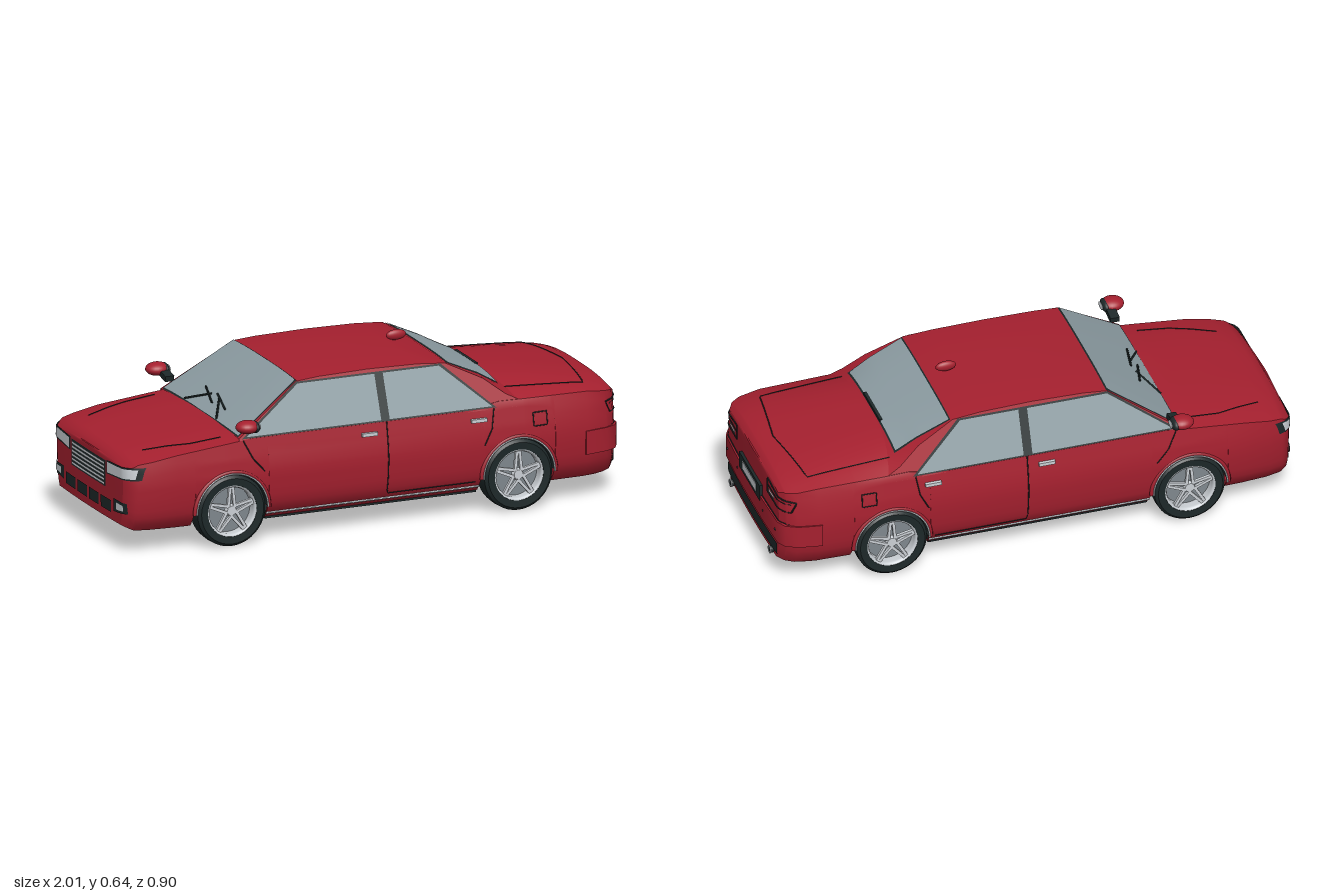
import * as THREE from 'three';
import { toCreasedNormals } from 'three/addons/utils/BufferGeometryUtils.js';

const mat = (name, color) => {
  const m = new THREE.MeshStandardMaterial({ color, side: THREE.DoubleSide });
  m.name = name;
  return m;
};
const paint = mat('red paint', 0xa6202f), glass = mat('grey glass', 0x8d9da3), dark = mat('dark trim', 0x1d2829),
  chrome = mat('bright metal', 0xccd1d6), steel = mat('grey metal', 0x80888e);

// Piecewise linear lookup in a list of [input, output] pairs
const look = (tab, x) => {
  if (x <= tab[0][0]) return tab[0][1];
  for (let i = 1; i < tab.length; i++) {
    const [a, p] = tab[i - 1], [b, q] = tab[i];
    if (x <= b) return p + (q - p) * (x - a) / (b - a);
  }
  return tab[tab.length - 1][1];
};
const lerp = THREE.MathUtils.lerp;

// Body curves along x: half width, centre height, shoulder height
const WIDTH = [[-.992, .3], [-.982, .325], [-.96, .347], [-.9, .365], [-.8, .375], [-.6, .38], [.6, .38], [.85, .373], [.93, .357], [.965, .335], [.985, .3]];
const TOP = [[-.992, .345], [-.982, .36], [-.95, .373], [-.8, .397], [-.6, .418], [-.53, .42], [-.5, .41], [.3, .41], [.42, .44], [.5, .487], [.55, .486], [.7, .472], [.85, .455], [.94, .441], [.97, .43], [.985, .412]];
const SHOULDER = [[-.992, .325], [-.95, .35], [-.8, .375], [-.55, .4], [-.5, .405], [.35, .405], [.5, .425], [.85, .42], [.97, .405], [.985, .395]];
const BULGE = [[.085, .86], [.11, .92], [.14, .965], [.2, .99], [.27, 1], [.33, .985], [.38, .96], [.41, .945], [.43, .92]];
const AXLES = [-.585, .57], ARCH = .148, AXLE_Y = .14, NOSE = -.992, TAIL = .985;

const sideZ = (x, y) => look(WIDTH, x) * look(BULGE, y);
const topY = (x, z) => {
  const s = look(SHOULDER, x), u = Math.min(1, Math.abs(z) / sideZ(x, s));
  return s + (look(TOP, x) - s) * (1 - u ** 3);
};
const bottomY = x => {
  for (const c of AXLES) if (Math.abs(x - c) <= ARCH) return AXLE_Y + Math.sqrt(Math.max(0, ARCH ** 2 - (x - c) ** 2));
  return look([[NOSE, .11], [-.95, .09], [.9, .088], [TAIL, .1]], x);
};
// x of the nose (-1) or tail (1) surface at a given z and y
const endX = (dir, z, y) => {
  const e = dir < 0 ? NOSE : TAIL, w = Math.abs(z) / look(BULGE, y), w0 = look(WIDTH, e);
  if (w <= w0) return e + dir * .006 * (1 - (w / w0) ** 2);
  const rows = WIDTH.filter(r => r[0] * dir > .59).map(r => [r[1], r[0]]).sort((a, b) => a[0] - b[0]);
  return look(rows, w);
};

// Cabin curves
const ROOF = [[-.55, .415], [-.29, .588], [-.2, .595], [0, .599], [.2, .595], [.31, .586], [.45, .524], [.53, .488], [.58, .468]];
const DROP = [[-.55, .008], [.31, .008], [.45, .014], [.53, .04], [.58, .045]];
const cabinZ = y => .357 - (y - .41) * .4;
const roofEdge = x => cabinZ(look(ROOF, x) - look(DROP, x));
const roofY = (x, z) => look(ROOF, x) - look(DROP, x) * (Math.abs(z) / roofEdge(x)) ** 3;

function add(parent, name, geo, material, x = 0, y = 0, z = 0) {
  const m = new THREE.Mesh(geo, material);
  m.name = name;
  m.position.set(x, y, z);
  parent.add(m);
  return m;
}
// Grid surface from f(i, j)
function grid(nu, nv, f, crease = 0.6) {
  const pos = [], idx = [];
  for (let i = 0; i <= nu; i++) for (let j = 0; j <= nv; j++) {
    pos.push(...f(i, j));
    const a = i * (nv + 1) + j, b = a + nv + 1;
    if (i < nu && j < nv) idx.push(a, a + 1, b, b, a + 1, b + 1);
  }
  const g = new THREE.BufferGeometry();
  g.setAttribute('position', new THREE.Float32BufferAttribute(pos, 3));
  g.setIndex(idx);
  return toCreasedNormals(g, crease);
}
// Thin line laid over a surface
function seam(parent, name, pts, map, material = dark, r = .0022) {
  const path = new THREE.CurvePath();
  for (let i = 1; i < pts.length; i++) {
    const v = [];
    for (let k = 0; k <= 6; k++) v.push(new THREE.Vector3(...map(lerp(pts[i - 1][0], pts[i][0], k / 6), lerp(pts[i - 1][1], pts[i][1], k / 6))));
    path.add(new THREE.CatmullRomCurve3(v));
  }
  add(parent, name, new THREE.TubeGeometry(path, pts.length * 12, r, 4), material);
}
const onSide = (x, y) => [x, y, sideZ(x, y) + .001];
const onTop = (x, z) => [x, topY(x, z) + .001, z];
const onTail = (z, y) => [endX(1, z, y) + .002, y, z];
// Patch hugging the nose or tail; the lower and upper edges may slope
function endPatch(parent, name, dir, z0, z1, [a0, a1], [b0, b1], material, off = .003) {
  add(parent, name, grid(16, 4, (i, j) => {
    const z = lerp(z0, z1, i / 16), y = lerp(lerp(a0, b0, i / 16), lerp(a1, b1, i / 16), j / 4);
    return [endX(dir, z, y) + dir * off, y, z + (Math.abs(z) > .25 ? Math.sign(z) * off : 0)];
  }), material);
}
function sidePlate(parent, name, pts, off, material) {
  const g = new THREE.ShapeGeometry(new THREE.Shape(pts.map(p => new THREE.Vector2(...p))));
  const p = g.attributes.position;
  for (let i = 0; i < p.count; i++) p.setZ(i, cabinZ(p.getY(i)) + off);
  g.computeVertexNormals();
  add(parent, name, g, material);
}

function makeWheel() {
  const g = new THREE.Group();
  g.name = 'wheel';
  const lathe = pts => new THREE.LatheGeometry(pts.map(p => new THREE.Vector2(...p)), 40).rotateX(Math.PI / 2);
  add(g, 'tyre', toCreasedNormals(lathe([[.095, -.045], [.125, -.045], [.136, -.034], [.138, 0], [.136, .034], [.125, .045], [.098, .043], [.095, .03]]), .7), dark);
  add(g, 'rim', lathe([[.095, -.04], [.09, -.02], [.088, .03], [.092, .041], [.099, .042]]), chrome);
  add(g, 'brakeDisc', new THREE.CylinderGeometry(.09, .09, .01, 32).rotateX(Math.PI / 2), steel, 0, 0, -.005);
  add(g, 'hub', new THREE.CylinderGeometry(.018, .024, .014, 20).rotateX(Math.PI / 2), chrome, 0, 0, .031);
  for (let i = 0; i < 5; i++) for (const s of [-1, 1]) {
    const spoke = new THREE.BoxGeometry(.011, .082, .012).rotateZ(s * .1).translate(s * .009, .052, .031);
    add(g, 'spoke', spoke.rotateZ(i * Math.PI * .4), chrome);
  }
  return g;
}

// Everything on the +z flank, reused mirrored
function makeFlank() {
  const g = new THREE.Group();
  // Windows over a dark frame
  sidePlate(g, 'windowFrame', [[-.54, .406], [.485, .406], [.29, .579], [-.292, .579]], .002, dark);
  sidePlate(g, 'frontWindow', [[-.52, .412], [.022, .412], [.022, .573], [-.288, .573]], .004, glass);
  sidePlate(g, 'rearWindow', [[.056, .412], [.468, .412], [.282, .573], [.056, .573]], .004, glass);
  // Door and panel lines
  seam(g, 'doorSeam', [[.043, .405], [.043, .13], [.4, .13]], onSide);
  seam(g, 'frontDoorSeam', [[-.535, .4], [-.5, .33], [-.455, .28]], onSide);
  seam(g, 'rearDoorSeam', [[.475, .405], [.462, .33], [.43, .27]], onSide);
  seam(g, 'fuelFlap', [[.63, .32], [.685, .32], [.685, .37], [.63, .37], [.63, .32]], onSide);
  seam(g, 'sillStrip', [[-.437, .108], [.42, .108]], onSide, chrome, .004);
  for (const x of [-.03, .41]) add(g, 'doorHandle', new THREE.BoxGeometry(.062, .013, .016), chrome, x, .367, sideZ(x, .367) + .004);
  add(g, 'sill', new THREE.BoxGeometry(.85, .03, .075), dark, -.008, .095, .29);
  // Arches and wheels
  for (const x of AXLES) {
    add(g, 'archFlare', new THREE.TorusGeometry(.15, .008, 6, 32, Math.PI), paint, x, AXLE_Y, .374);
    add(g, 'archTrim', new THREE.TorusGeometry(.143, .0035, 5, 32, Math.PI), chrome, x, AXLE_Y, .38);
    const liner = new THREE.CylinderGeometry(.147, .147, .11, 28, 1, true, 0, Math.PI).rotateX(Math.PI / 2).rotateZ(Math.PI / 2);
    add(g, 'archLiner', liner, dark, x, AXLE_Y, .315);
    const w = makeWheel();
    w.position.set(x, AXLE_Y, .334);
    g.add(w);
  }
  // Door mirror
  add(g, 'mirrorStalk', new THREE.BoxGeometry(.035, .022, .07), dark, -.525, .455, .365).rotation.x = -.2;
  add(g, 'mirrorShell', new THREE.SphereGeometry(1, 24, 16).scale(.045, .025, .04), paint, -.54, .468, .412);
  add(g, 'mirrorRim', new THREE.SphereGeometry(1, 24, 12).scale(.016, .022, .036), dark, -.512, .466, .412);
  add(g, 'mirrorGlass', new THREE.SphereGeometry(1, 20, 10).scale(.004, .013, .024), chrome, -.496, .466, .412);
  // Bonnet and boot lines
  seam(g, 'bonnetSeam', [[-.89, .245], [-.72, .295], [-.6, .3]], onTop);
  seam(g, 'bootSeam', [[.55, .28], [.87, .28], [.91, 0]], onTop);
  // Tail lamp, exhaust and sensors
  seam(g, 'tailLampEdge', [[.18, .335], [.34, .328], [.345, .37], [.18, .396], [.18, .335]], onTail, dark, .003);
  seam(g, 'tailLampRib', [[.18, .367], [.335, .36]], onTail);
  endPatch(g, 'reverseLamp', 1, .2, .255, [.346, .36], [.346, .36], chrome, .004);
  seam(g, 'bumperSeam', [[.12, .278], [.34, .278]], onTail);
  add(g, 'exhaustPipe', new THREE.CylinderGeometry(.014, .014, .05, 20).rotateZ(Math.PI / 2), dark, .974, .11, .23);
  add(g, 'exhaustRing', new THREE.TorusGeometry(.014, .0025, 6, 20).rotateY(Math.PI / 2), chrome, .999, .11, .23);
  for (const z of [.15, .28]) add(g, 'parkingSensor', new THREE.SphereGeometry(.005, 10, 8), dark, endX(1, z, .23) + .008, .23, z);
  // Headlamp and fog lamp
  endPatch(g, 'headlampFrame', -1, .165, .352, [.278, .33], [.292, .34], dark, .002);
  endPatch(g, 'headlamp', -1, .172, .345, [.284, .324], [.298, .334], chrome, .004);
  endPatch(g, 'fogLampRecess', -1, .225, .32, [.15, .2], [.16, .2], dark, .003);
  endPatch(g, 'fogLamp', -1, .25, .3, [.163, .19], [.168, .19], chrome, .005);
  return g;
}

export function createModel() {
  const car = new THREE.Group();
  car.name = 'sedan';
  // Body shell lofted along x, with wheel openings in its lower edge
  const xs = [WIDTH, TOP, SHOULDER].flatMap(t => t.map(r => r[0]));
  for (const c of AXLES) {
    for (let k = 0; k <= 20; k++) xs.push(c - ARCH * Math.cos(k * Math.PI / 20) * .99999);
    xs.push(c - ARCH - .001, c + ARCH + .001);
  }
  const st = [...new Set(xs.map(x => +x.toFixed(5)))].sort((a, b) => a - b), N = 20;
  const half = (x, k) => {
    const s = look(SHOULDER, x);
    if (k <= 10) { const y = lerp(bottomY(x), s, k / 10); return [y, sideZ(x, y)]; }
    const z = sideZ(x, s) * (1 - (k - 10) / 10);
    return [topY(x, z), z];
  };
  add(car, 'bodyShell', grid(st.length - 1, 2 * N, (i, j) => {
    const [y, z] = half(st[i], j <= N ? j : 2 * N - j);
    return [st[i], y, j <= N ? z : -z];
  }), paint);
  for (const [e, dir, name] of [[NOSE, -1, 'nosePanel'], [TAIL, 1, 'tailPanel']])
    add(car, name, grid(N, 16, (i, j) => {
      const [y, z] = half(e, i), w = j / 8 - 1;
      return [e + dir * .006 * (1 - w * w), y, z * w];
    }), paint);
  // Floor sections, dark axle bays
  for (const [a, b] of [[NOSE, -.734], [-.436, .421], [.719, TAIL]])
    add(car, 'floor', grid(16, 2, (i, j) => {
      const x = lerp(a, b, i / 16), y = bottomY(x);
      return [x, y, sideZ(x, y) * (j - 1)];
    }), paint);
  for (const x of AXLES) add(car, 'axleBay', new THREE.BoxGeometry(.296, .19, .54), dark, x, .2, 0);

  // Cabin shell with windscreen and rear window
  add(car, 'cabinShell', grid(ROOF.length - 1, 14, (i, j) => {
    const x = ROOF[i][0], e = roofEdge(x);
    if (j === 0 || j === 14) return [x, .4, cabinZ(.4) * (j ? -1 : 1)];
    const z = e * (7 - j) / 6;
    return [x, roofY(x, z), z];
  }, .4), paint);
  const screen = (name, x0, x1, f0, f1, off, material) => add(car, name, grid(10, 16, (i, j) => {
    const x = lerp(x0, x1, i / 10), z = lerp(f0, f1, i / 10) * (j / 8 - 1);
    return [x, roofY(x, z) + off, z];
  }), material);
  screen('windscreenSeal', -.549, -.287, .345, .285, .002, dark);
  screen('windscreen', -.546, -.291, .341, .281, .005, glass);
  screen('rearWindowSeal', .316, .53, .286, .278, .002, dark);
  screen('rearWindow', .322, .525, .282, .272, .005, glass);
  const onScreen = (x, z) => [x, roofY(x, z) + .009, z];
  for (const line of [[[-.545, -.15], [-.485, -.04]], [[-.475, -.115], [-.51, .02]], [[-.545, .14], [-.485, .03]], [[-.505, .13], [-.475, -.01]]])
    seam(car, 'wiper', line, onScreen, dark, .004);
  add(car, 'highBrakeLamp', new THREE.BoxGeometry(.012, .012, .19), dark, .522, .494, 0);
  add(car, 'roofAntenna', new THREE.SphereGeometry(1, 20, 14).scale(.04, .02, .014), paint, .24, .617, 0);

  // Rear bumper following the plan of the body
  const plan = [.84, .88, .93, .965, .985].map(x => [x + (x > .95 ? .008 : 0), look(WIDTH, x) + .004]);
  const ring = [...plan, [.999, .15], [.999, -.15], ...plan.map(([x, z]) => [x, -z]).reverse()];
  const bumper = new THREE.ExtrudeGeometry(new THREE.Shape(ring.map(p => new THREE.Vector2(...p))), { depth: .09, bevelEnabled: false });
  add(car, 'rearBumper', toCreasedNormals(bumper.rotateX(Math.PI / 2), .6), paint, 0, .275, 0);
  endPatch(car, 'rearValance', 1, -.285, .285, [.12, .17], [.12, .17], dark, .004);
  add(car, 'plateFrame', new THREE.BoxGeometry(.02, .066, .24), dark, .992, .288, 0);
  add(car, 'plate', new THREE.BoxGeometry(.006, .034, .16), chrome, 1.001, .288, 0);

  // Grille with bars, lower intakes
  endPatch(car, 'grilleFrame', -1, -.155, .155, [.225, .325], [.225, .325], dark, .002);
  for (let i = 0; i < 6; i++) endPatch(car, 'grilleBar', -1, -.148, .148, [.231 + i * .0155, .241 + i * .0155], [.231 + i * .0155, .241 + i * .0155], chrome, .005);
  for (const z of [-.16, -.053, .053, .16]) endPatch(car, 'lowerIntake', -1, z - .044, z + .044, [.14, .185], [.14, .185], dark, .003);

  const left = makeFlank(), right = makeFlank();
  left.name = 'nearFlank';
  right.name = 'farFlank';
  right.scale.z = -1;
  car.add(left, right);
  return car;
}
